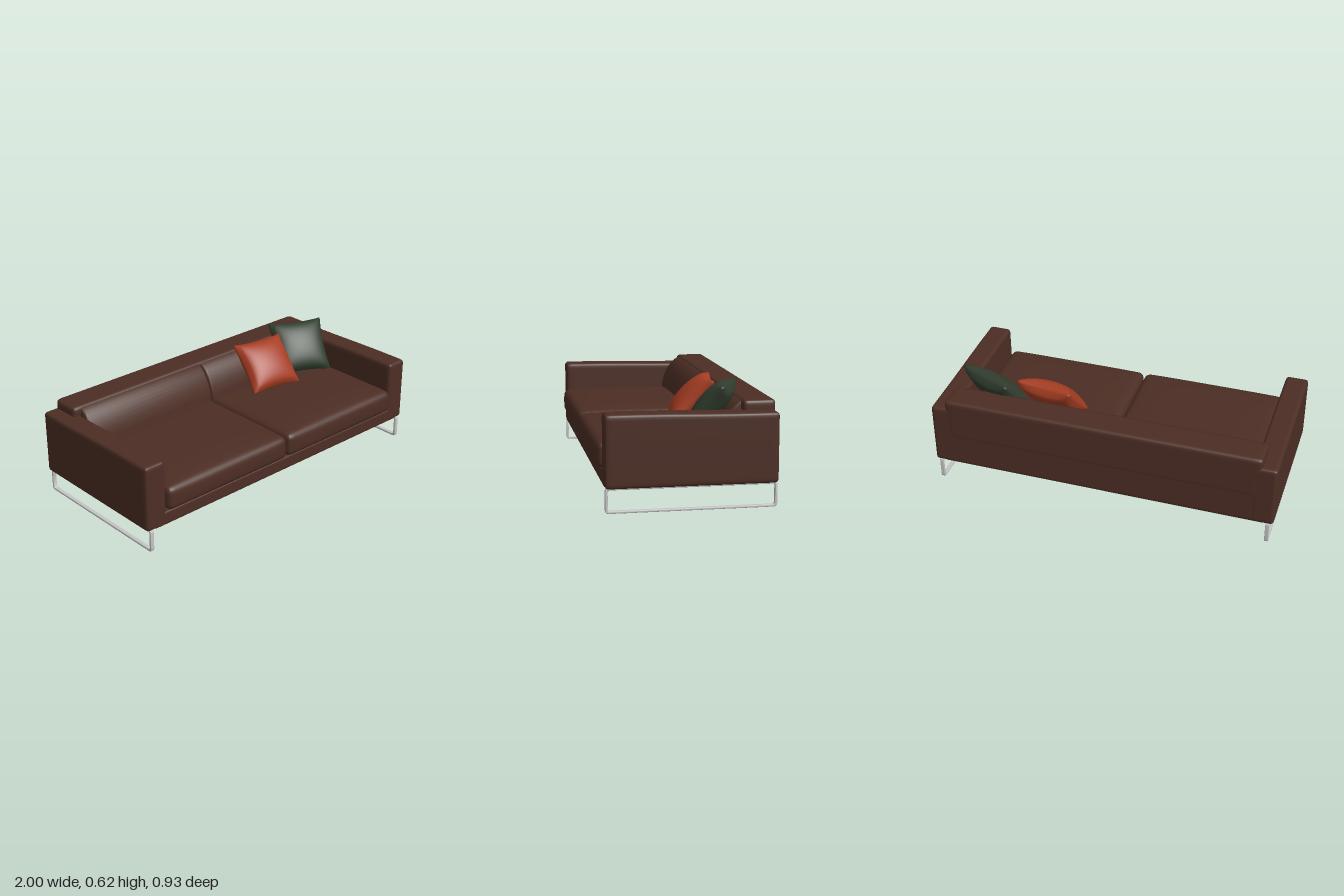
import * as THREE from 'three';
import { mergeVertices, toCreasedNormals } from 'three/addons/utils/BufferGeometryUtils.js';

const mat = (name, color) => {
  const m = new THREE.MeshStandardMaterial({ color });
  m.name = name;
  return m;
};

function reshape(geo, rule) {
  geo.deleteAttribute('uv');
  geo.deleteAttribute('normal');
  const g = mergeVertices(geo, 1e-5);
  const p = g.attributes.position;
  const v = new THREE.Vector3();
  for (let i = 0; i < p.count; i++) {
    rule(v.fromBufferAttribute(p, i));
    p.setXYZ(i, v.x, v.y, v.z);
  }
  g.computeVertexNormals();
  return g;
}

// Upholstered block between two corners, with rounded edges and an optional further rule
function softBox(min, max, r, rule = () => {}) {
  const half = max.map((m, i) => (m - min[i]) / 2);
  const mid = max.map((m, i) => (m + min[i]) / 2);
  const ease = t => Math.sign(t) * (1 - (1 - Math.abs(t)) ** 2);
  return reshape(new THREE.BoxGeometry(2, 2, 2, 24, 20, 24), v => {
    const full = new THREE.Vector3(ease(v.x) * half[0], ease(v.y) * half[1], ease(v.z) * half[2]);
    const core = new THREE.Vector3(...full.toArray().map((c, i) =>
      THREE.MathUtils.clamp(c, r - half[i], half[i] - r)));
    const out = full.clone().sub(core);
    if (out.lengthSq() > 0) core.add(out.setLength(r));
    v.copy(core);
    rule(v, v.x / half[0], v.y / half[1], v.z / half[2]);
    v.add(new THREE.Vector3(...mid));
  });
}

// Square scatter cushion: pinched edges, pointed corners, puffed middle
function pillowGeometry(w, h, t) {
  return reshape(new THREE.BoxGeometry(2, 2, 2, 20, 20, 2), v => {
    const { x, y, z } = v;
    const puff = Math.pow(Math.max(0, (1 - x * x) * (1 - y * y)), 0.45);
    v.set(
      x * w / 2 * (1 - 0.07 * (1 - y * y) * x * x),
      y * h / 2 * (1 - 0.07 * (1 - x * x) * y * y),
      z * (0.008 + t / 2 * puff));
  });
}

// Profile drawn in z and y, extruded along x and centred
function extrudeAcross(shape, width, bevel) {
  const g = new THREE.ExtrudeGeometry(shape, {
    depth: width - 2 * bevel, bevelEnabled: true, bevelSize: bevel, bevelThickness: bevel,
    bevelOffset: -bevel, bevelSegments: 4, curveSegments: 10,
  });
  g.translate(0, 0, bevel - width / 2);
  g.rotateY(-Math.PI / 2);
  return toCreasedNormals(g, 0.7);
}

function roundedRect(path, z0, y0, z1, y1, r) {
  path.moveTo(z0 + r, y0);
  path.lineTo(z1 - r, y0);
  path.quadraticCurveTo(z1, y0, z1, y0 + r);
  path.lineTo(z1, y1 - r);
  path.quadraticCurveTo(z1, y1, z1 - r, y1);
  path.lineTo(z0 + r, y1);
  path.quadraticCurveTo(z0, y1, z0, y1 - r);
  path.lineTo(z0, y0 + r);
  path.quadraticCurveTo(z0, y0, z0 + r, y0);
  return path;
}

export function createModel() {
  const brown = mat('brown upholstery', 0x4c2e24);
  const red = mat('rust fabric', 0xa63d22);
  const green = mat('dark green fabric', 0x313d2e);
  const steel = mat('polished steel', 0xc4c4c4);

  const sofa = new THREE.Group();
  sofa.name = 'sofa';
  const add = (name, geo, material, x = 0, y = 0, z = 0) => {
    const m = new THREE.Mesh(geo, material);
    m.name = name;
    m.position.set(x, y, z);
    sofa.add(m);
    return m;
  };

  // Base rail and rear shell
  add('base', softBox([-0.95, 0.132, -0.46], [0.95, 0.212, 0.437], 0.012), brown);
  add('backShell', softBox([-0.95, 0.132, -0.465], [0.95, 0.49, -0.33], 0.015), brown);
  add('backrest', softBox([-0.915, 0.3, -0.466], [0.915, 0.556, -0.29], 0.024), brown);

  // Sloping front of the back cushions
  const slope = new THREE.Shape();
  slope.moveTo(-0.42, 0.3);
  slope.lineTo(-0.18, 0.3);
  slope.lineTo(-0.185, 0.37);
  slope.bezierCurveTo(-0.2, 0.46, -0.25, 0.548, -0.32, 0.552);
  slope.lineTo(-0.42, 0.552);
  slope.closePath();
  const backCushion = extrudeAcross(slope, 0.868, 0.015);

  // Steel runner, a rounded loop of flat bar
  const loop = roundedRect(new THREE.Shape(), -0.463, 0.003, 0.435, 0.137, 0.02);
  loop.holes.push(roundedRect(new THREE.Path(), -0.45, 0.016, 0.421, 0.125, 0.012));
  const runner = extrudeAcross(loop, 0.022, 0.003);

  for (const s of [-1, 1]) {
    const side = s > 0 ? 'left' : 'right';

    // Arm, its top falling slightly towards the back
    const arm = softBox([-0.066, 0.132, -0.466], [0.066, 0.51, 0.437], 0.02, (v, x, y, z) => {
      if (y > 0) v.y += y * (0.006 * Math.tanh(z * 2) - 0.002);
    });
    add(side + 'Arm', arm, brown, s * 0.933);

    // Seat cushion with a crowned top
    const seat = softBox([-0.431, 0.212, -0.27], [0.431, 0.352, 0.458], 0.035, (v, x, y, z) => {
      if (y > 0) v.y += y * 0.02 * (1 - x ** 4) * (1 - z ** 4);
      if (z > 0) v.z += z * 0.008 * (1 - x ** 6) * (1 - y * y);
    });
    add(side + 'SeatCushion', seat, brown, s * 0.435);
    add(side + 'BackCushion', backCushion, brown, s * 0.436);
    add(side + 'Runner', runner, steel, s * 0.967);
  }

  // Scatter cushions leaning against the back
  const redPillow = add('redPillow', pillowGeometry(0.33, 0.32, 0.13), red, 0.385, 0.485, -0.125);
  redPillow.rotation.set(-0.76, -0.14, 0.0, 'YXZ');
  const greenPillow = add('greenPillow', pillowGeometry(0.34, 0.33, 0.13), green, 0.705, 0.492, -0.165);
  greenPillow.rotation.set(-0.66, -0.42, 0.0, 'YXZ');

  return sofa;
}
